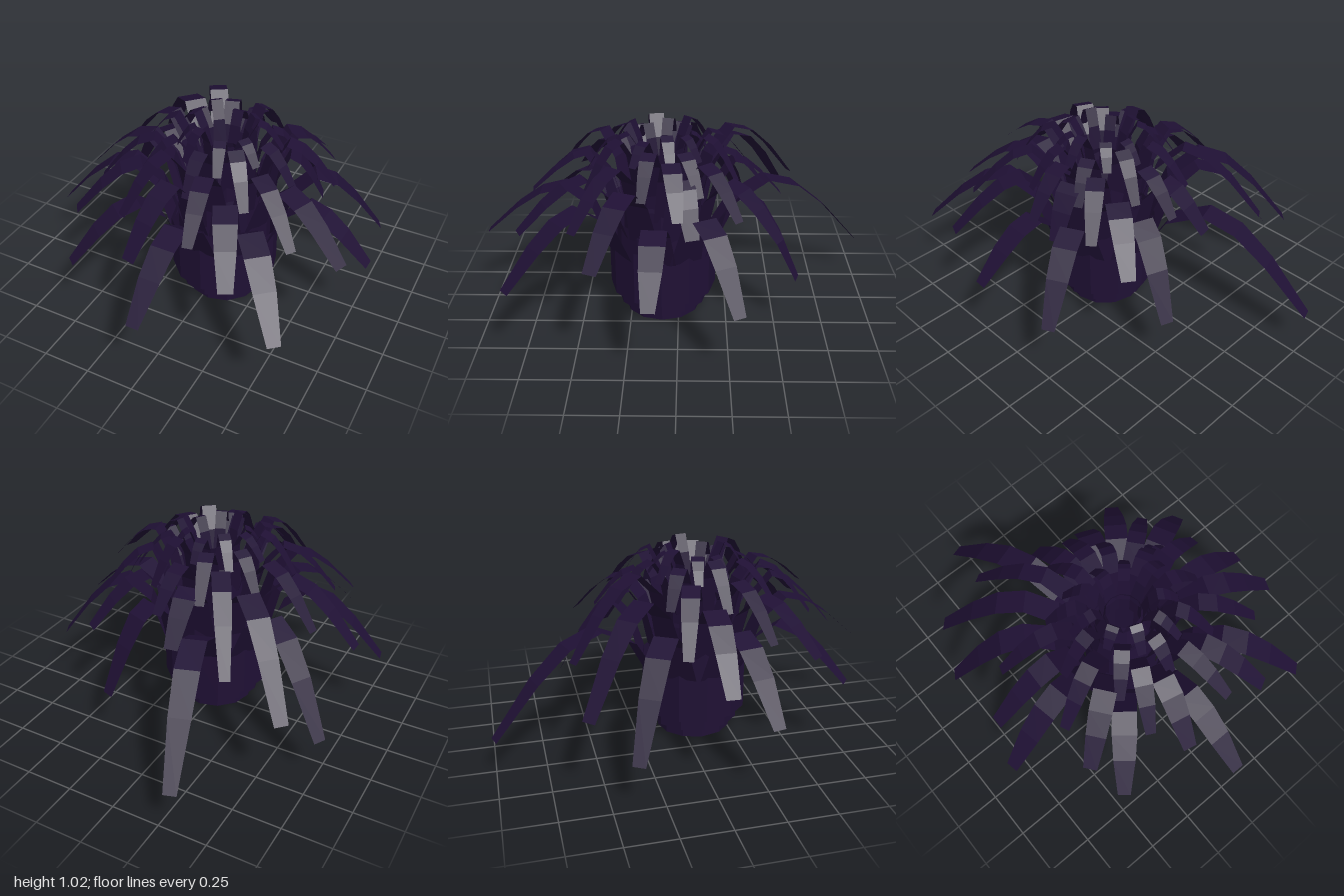
import * as THREE from 'three';

const material = new THREE.MeshStandardMaterial({ color: 0x1f1034, flatShading: true, side: THREE.DoubleSide });
const CX = 0.036, CZ = 0.085;

// Flat ribbon leaf: rows are [radius, height, width], rising, arching over and hanging down.
function leaf(angle, rows) {
  const pos = [], index = [];
  rows.forEach(([r, y, w], i) => {
    pos.push(r, y, -w / 2, r, y, w / 2);
    if (i) {
      const a = 2 * i - 2;
      index.push(a, a + 2, a + 1, a + 1, a + 2, a + 3);
    }
  });
  const g = new THREE.BufferGeometry();
  g.setAttribute('position', new THREE.Float32BufferAttribute(pos, 3));
  g.setIndex(index);
  g.computeVertexNormals();
  const mesh = new THREE.Mesh(g, material);
  mesh.name = 'leaf';
  mesh.rotation.y = -THREE.MathUtils.degToRad(angle);
  return mesh;
}

// Open stem sleeve from a short profile
function sleeve(points) {
  const g = new THREE.LatheGeometry(points.map(([r, y]) => new THREE.Vector2(r, y)), 12);
  const mesh = new THREE.Mesh(g, material);
  mesh.name = 'stemSleeve';
  return mesh;
}

// Nested layers, outside to inside; each leaf is [angle in degrees, reach, tip height]
const layers = [
  { name: 'outerLeaves', radius: 0.28, bottom: 0.13, top: 0.42, peak: 0.69, base: 0.18, width: 0.125, tip: 0.065,
    leaves: [[3, 0.80, 0.43], [50, 0.94, 0.41], [90, 0.915, 0.43], [129, 0.83, 0.40], [169, 0.89, 0.38],
      [210, 0.93, 0.24], [252, 1.14, 0.21], [290, 0.73, 0.29], [333, 0.82, 0.36]] },
  { name: 'secondLeaves', radius: 0.24, bottom: 0.06, top: 0.52, peak: 0.83, base: 0.16, width: 0.115, tip: 0.07,
    leaves: [[22, 0.80, 0.59], [63, 0.77, 0.59], [102, 0.71, 0.59], [142, 0.75, 0.58], [182, 0.80, 0.52],
      [224, 0.96, 0.43], [262, 0.62, 0.62], [305, 0.70, 0.58], [342, 0.5, 0.62]] },
  { name: 'thirdLeaves', radius: 0.2, bottom: 0, top: 0.62, peak: 0.92, base: 0.14, width: 0.09, tip: 0.05,
    leaves: [[351, 0.56, 0.75], [37, 0.67, 0.68], [78, 0.65, 0.73], [117, 0.6, 0.7], [157, 0.62, 0.66],
      [197, 0.66, 0.65], [239, 0.81, 0.6], [275, 0.52, 0.72], [320, 0.58, 0.7]] },
  { name: 'fourthLeaves', radius: 0.15, bottom: 0.5, top: 0.72, peak: 0.97, base: 0.11, width: 0.075, tip: 0.045,
    leaves: [0, 1, 2, 3, 4, 5, 6, 7, 8].map(i => [12 + i * 40, 0.42 + 0.04 * Math.sin(i * 2.3), 0.78]) },
  { name: 'innerLeaves', radius: 0.1, bottom: 0.6, top: 0.8, peak: 1.0, base: 0.075, width: 0.06, tip: 0.04,
    leaves: [0, 1, 2, 3, 4, 5, 6, 7, 8].map(i => [30 + i * 40, 0.27 + 0.04 * Math.sin(i * 1.7), 0.88]) },
];

export function createModel() {
  const plant = new THREE.Group();
  plant.name = 'plant';

  for (const L of layers) {
    const group = new THREE.Group();
    group.name = L.name;
    group.add(sleeve([[L.radius, L.bottom], [L.radius, L.top]]));
    L.leaves.forEach(([angle, reach, tipY], i) => {
      const span = reach - L.radius;
      const peak = L.peak + 0.025 * Math.sin(i * 2.1 + L.radius * 40);
      group.add(leaf(angle, [
        [L.radius - 0.01, L.top - 0.05, L.base],
        [L.radius + 0.12 * span, L.top + (peak - L.top) * 0.6, L.base * 0.75],
        [L.radius + 0.34 * span, peak, L.width],
        [L.radius + 0.54 * span, peak - (peak - tipY) * 0.12, L.width],
        [L.radius + 0.74 * span, peak - (peak - tipY) * 0.44, L.width * 0.88],
        [reach, tipY, L.tip],
      ]));
    });
    plant.add(group);
  }

  // Hollow core narrowing towards the crown
  const core = sleeve([[0.195, 0.4], [0.15, 0.62], [0.09, 0.82]]);
  core.name = 'core';
  plant.add(core);

  plant.position.set(CX, 0, CZ);
  const model = new THREE.Group();
  model.add(plant);
  return model;
}
